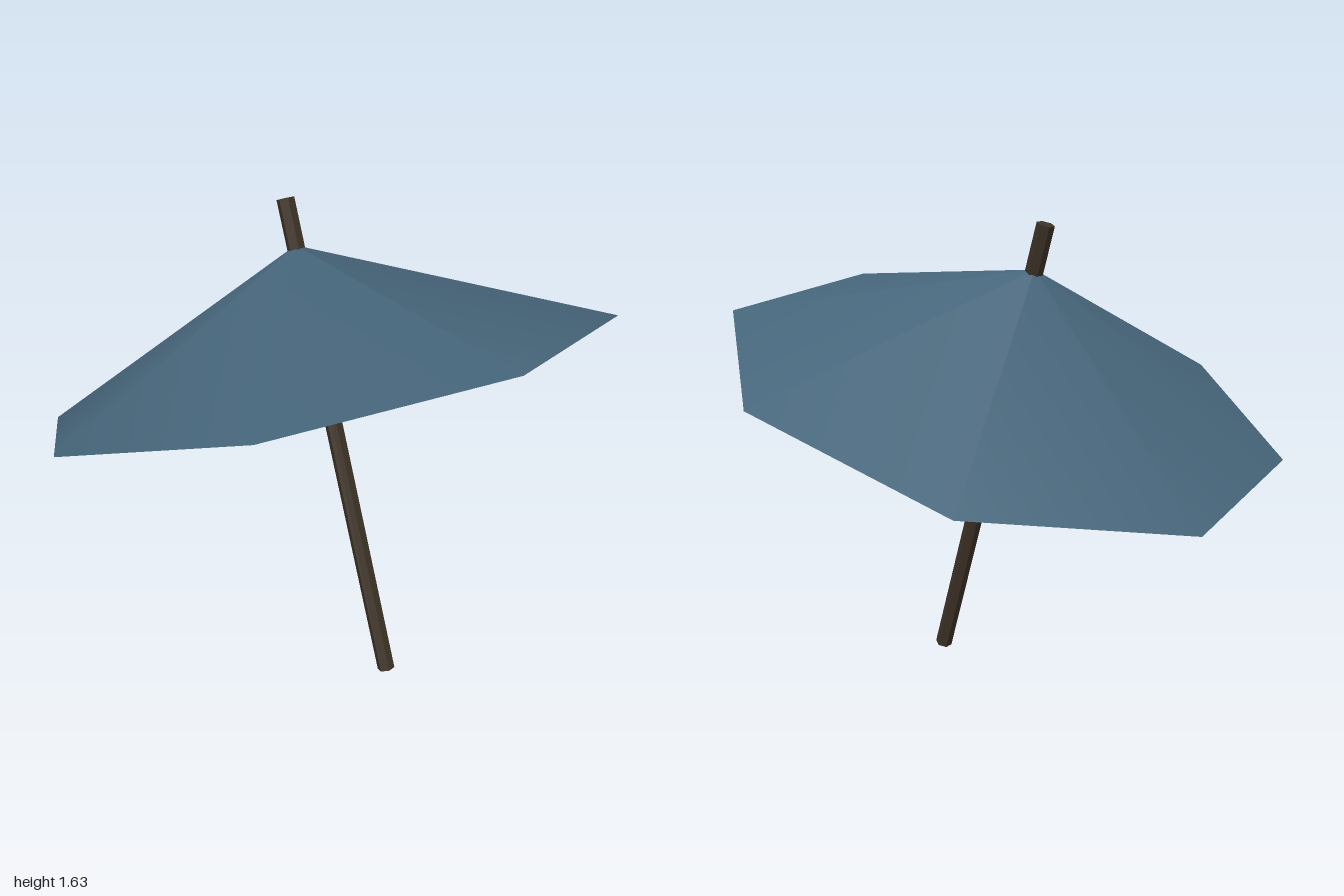
import * as THREE from 'three';

export function createModel() {
  const model = new THREE.Group();
  model.name = 'parasol';

  const fabric = new THREE.MeshStandardMaterial({ color: 0x46657a, side: THREE.DoubleSide });
  fabric.name = 'blue fabric';
  const wood = new THREE.MeshStandardMaterial({ color: 0x3d3226, flatShading: true });
  wood.name = 'dark wood';

  // Open eight-sided canopy, smooth shaded, tilted to the right
  const height = 0.431;
  const canopyGeometry = new THREE.ConeGeometry(1, height, 8, 1, true);
  canopyGeometry.translate(0, height / 2, 0); // rim centre becomes the pivot
  const canopy = new THREE.Mesh(canopyGeometry, fabric);
  canopy.name = 'canopy';
  canopy.position.set(0, 1.07, 0);
  canopy.rotation.z = THREE.MathUtils.degToRad(21);
  model.add(canopy);

  // Leaning six-sided pole that pokes out through the canopy's tip
  const foot = new THREE.Vector3(0.394, 0.011, 0);
  const tip = new THREE.Vector3(-0.21, 1.621, 0);
  const axis = tip.clone().sub(foot);
  const poleGeometry = new THREE.CylinderGeometry(0.031, 0.031, axis.length(), 6);
  poleGeometry.rotateY(THREE.MathUtils.degToRad(15));
  const pole = new THREE.Mesh(poleGeometry, wood);
  pole.name = 'pole';
  pole.position.copy(foot).add(tip).multiplyScalar(0.5);
  pole.quaternion.setFromUnitVectors(new THREE.Vector3(0, 1, 0), axis.normalize());
  model.add(pole);

  return model;
}
